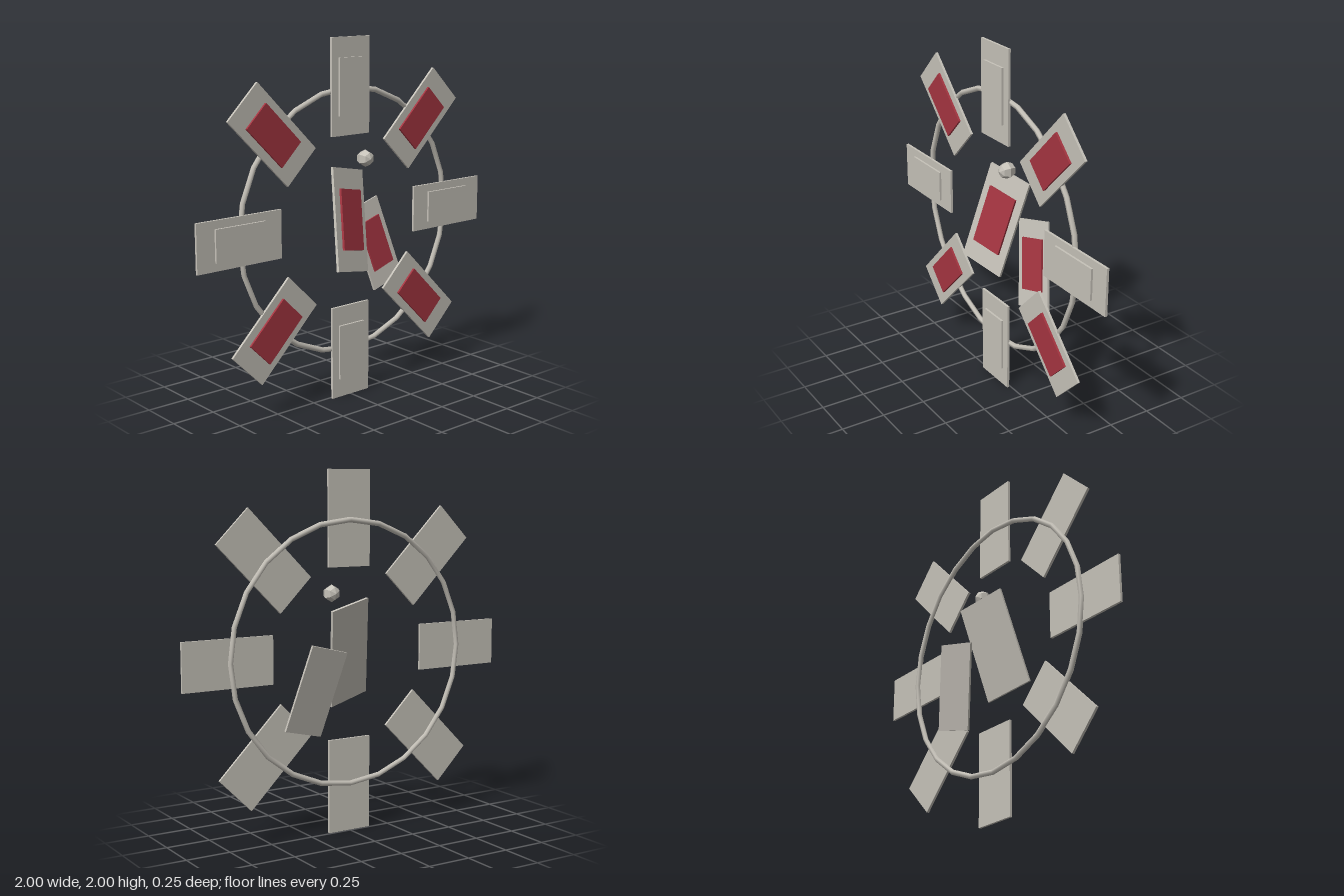
import * as THREE from 'three';

export function createModel() {
  const model = new THREE.Group();
  model.name = 'cardWheel';

  const stone = new THREE.MeshStandardMaterial({ color: 0xc6c2b9 });
  stone.name = 'pale stone';
  const red = new THREE.MeshStandardMaterial({ color: 0xa53541 });
  red.name = 'deep red';

  const add = (parent, name, geometry, material) => {
    const mesh = new THREE.Mesh(geometry, material);
    mesh.name = name;
    parent.add(mesh);
    return mesh;
  };

  // A card: backing slab with a smaller raised panel on its front
  const slab = new THREE.BoxGeometry(0.263, 0.525, 0.014);
  const panel = new THREE.BoxGeometry(0.175, 0.31, 0.012);
  const addCard = (name, panelMaterial, position, rotation, scale = 1) => {
    const card = new THREE.Group();
    card.name = name;
    add(card, 'cardBack', slab, stone);
    add(card, 'cardPanel', panel, panelMaterial).position.z = 0.013;
    card.position.set(...position);
    card.rotation.set(...rotation);
    card.scale.setScalar(scale);
    model.add(card);
  };

  // Ring that carries the cards
  add(model, 'ring', new THREE.TorusGeometry(0.73, 0.015, 6, 24), stone).position.set(0, 1, 0.002);

  // Eight cards around the ring, the diagonal ones with red panels
  for (let i = 0; i < 8; i++) {
    const a = (i * Math.PI) / 4;
    const position = [-Math.sin(a) * 0.7375, 1 + Math.cos(a) * 0.7375, 0.015];
    addCard('ringCard' + (i + 1), i % 2 ? red : stone, position, [0, 0, a]);
  }

  // Two loose tilted cards in the middle
  addCard('centreCard', red, [0, 1.004, 0.013], [-0.21, 0.288, -0.14], 1.08);
  addCard('fallingCard', red, [0.257, 0.82, -0.066], [-0.19, 0.08, 0.26], 0.92);

  // Small faceted bead above the centre card
  const beadMaterial = stone.clone();
  beadMaterial.flatShading = true;
  beadMaterial.name = 'pale stone faceted';
  const bead = new THREE.SphereGeometry(0.048, 6, 4).rotateX(Math.PI / 2).rotateZ(Math.PI / 6);
  add(model, 'bead', bead, beadMaterial).position.set(0.11, 1.335, 0.015);

  return model;
}
